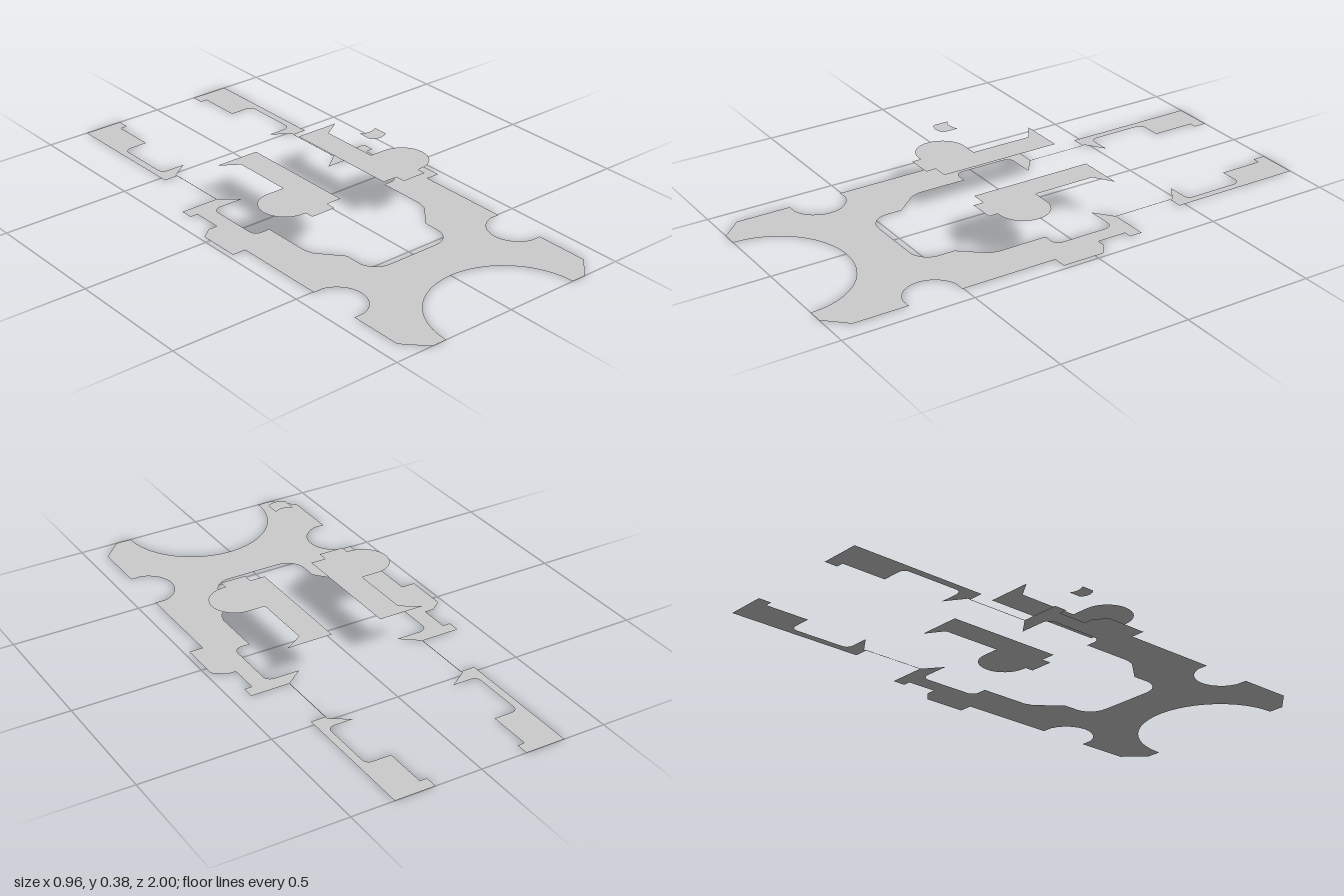
import * as THREE from 'three';

const material = new THREE.MeshStandardMaterial({ color: 0xcccccc, side: THREE.DoubleSide });

// Points of an arc in the ground plane (x, z), angles in degrees.
function arc(cx, cz, r, from, to, n = 10) {
  return Array.from({ length: n + 1 }, (_, i) => {
    const a = THREE.MathUtils.degToRad(from + ((to - from) * i) / n);
    return [cx + r * Math.cos(a), cz + r * Math.sin(a)];
  });
}

// Flat horizontal sheet from an (x, z) outline at height y, facing up.
function sheet(name, outline, y, side = 1) {
  const shape = new THREE.Shape(outline.map(([x, z]) => new THREE.Vector2(side * x, -z)));
  const geometry = new THREE.ShapeGeometry(shape);
  geometry.rotateX(-Math.PI / 2);
  const mesh = new THREE.Mesh(geometry, material);
  mesh.name = name;
  mesh.position.y = y;
  return mesh;
}

export function createModel() {
  const model = new THREE.Group();
  model.name = 'layeredPlates';

  // Base plate: left half outline from the front centre round to the inner centre
  const half = [
    ...arc(0, 1, 0.29, -90, 0, 12),
    [0.35, 1], [0.427, 0.92], [0.427, 0.71],
    ...arc(0.414, 0.607, 0.1066, 105, 255, 12),
    [0.427, 0.504], [0.427, 0.13], [0.48, 0.13], [0.48, -0.035], [0.435, -0.07],
    [0.4, -0.07], [0.4, -0.185], [0.43, -0.185], [0.43, -0.235], [0.278, -0.235],
    [0.205, -0.178],
    ...arc(0.305, -0.148, 0.03, -90, 0, 5),
    ...arc(0.305, 0.035, 0.03, 0, 90, 5),
    [0.27, 0.065], [0.27, 0.26], [0.26, 0.295], [0.183, 0.385],
    ...arc(0.108, 0.447, 0.075, 0, 90, 8),
  ];
  const mirrored = half.slice(1).reverse().map(([x, z]) => [-x, z]);
  model.add(sheet('basePlate', [...half, ...mirrored], 0));

  // Rear rail with its side window
  const rail = [
    [0.18, -1], [0.335, -1], [0.335, -0.477], [0.278, -0.477], [0.278, -0.487],
    [0.205, -0.537],
    ...arc(0.28, -0.562, 0.025, 90, 0, 5),
    ...arc(0.28, -0.755, 0.025, 0, -90, 5),
    [0.208, -0.78], [0.208, -0.95], [0.18, -0.95],
  ];

  // Hairline link between rail and base
  const link = [[0.276, -0.478], [0.279, -0.478], [0.279, -0.234], [0.276, -0.234]];

  // Raised plate with a rounded lobe
  const paddle = [
    [0.1, -0.226], [0.278, -0.226], [0.205, -0.178], [0.205, 0.063],
    ...arc(0.272, 0.16, 0.097, -90, 90, 16),
    [0.26, 0.257], [0.26, 0.292], [0.16, 0.292], [0.16, 0.252], [0.1, 0.252],
  ];

  for (const [label, side] of [['left', 1], ['right', -1]]) {
    model.add(
      sheet(label + 'RearRail', rail, 0, side),
      sheet(label + 'RailLink', link, 0, side),
      sheet(label + 'RaisedPlate', paddle, 0.14, side),
    );
  }

  // Small top tab: concave rear edge, convex front edge
  const tab = [
    ...arc(0, 0.225, 0.061, 125, 55, 6),
    ...arc(0, 0.294, 0.05, 45, 135, 8),
  ];
  model.add(sheet('topTab', tab, 0.38));

  return model;
}
